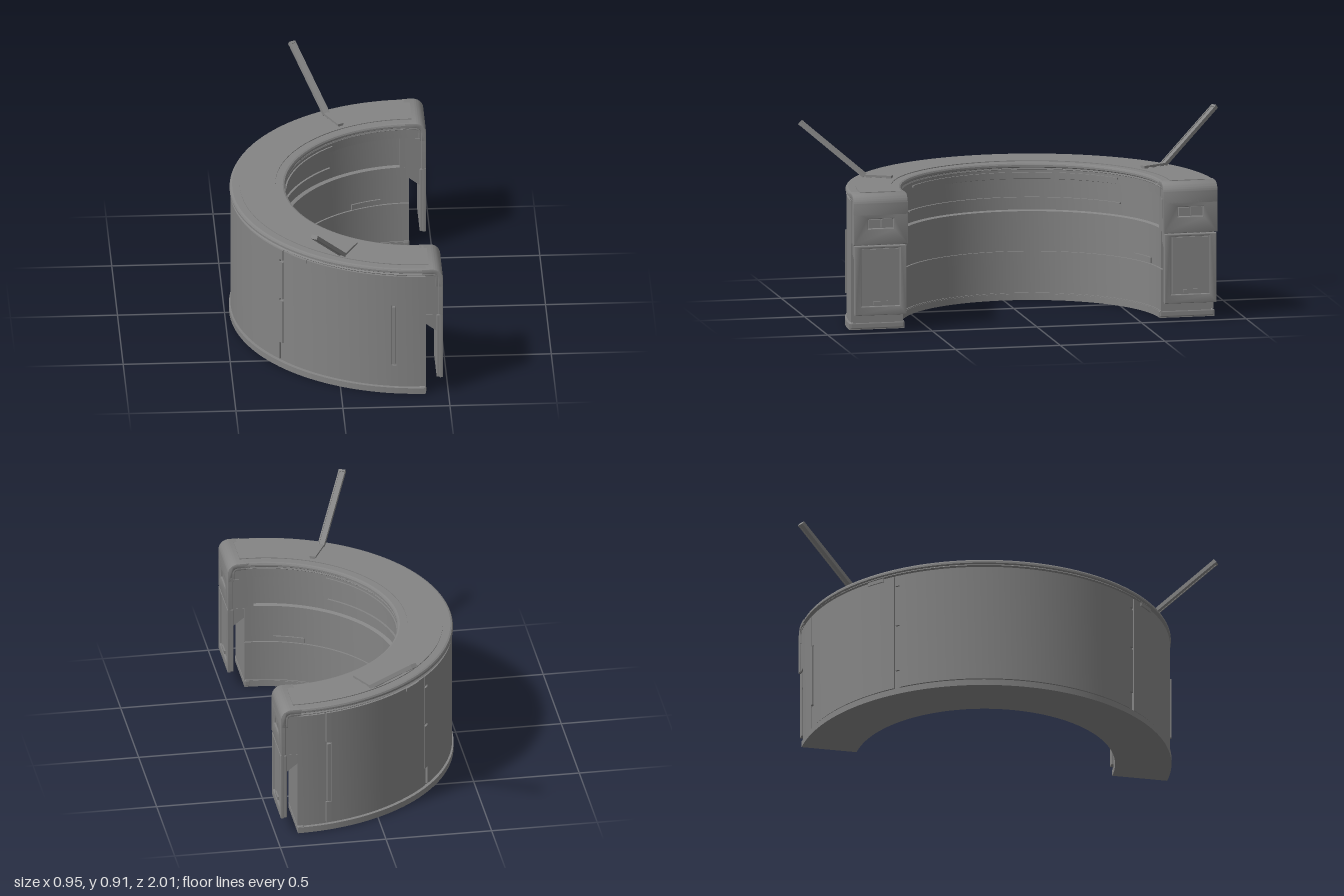
import * as THREE from 'three';
import { mergeGeometries, toCreasedNormals } from 'three/addons/utils/BufferGeometryUtils.js';
import { RoundedBoxGeometry } from 'three/addons/geometries/RoundedBoxGeometry.js';

const CX = 0.395; // centre of the half ring
const PI = Math.PI;
const BEVEL = 0.004;

// rectangle corners, counter-clockwise
const rect = (x0, x1, y0, y1) => [[x0, y0], [x1, y0], [x1, y1], [x0, y1]];
const vectors = pts => pts.map(p => new THREE.Vector2(...p));

// bevelled extrusion centred on z, with its full size given by shape edge + bevel
function slab(shape, depth) {
  const geo = new THREE.ExtrudeGeometry(shape, {
    depth: depth - 2 * BEVEL, bevelThickness: BEVEL, bevelSize: BEVEL, bevelSegments: 2, curveSegments: 12,
  });
  return toCreasedNormals(geo.translate(0, 0, BEVEL - depth / 2), 0.5);
}

// upright plate facing +x with a rectangular opening
function facePlate(outer, hole, x0, x1) {
  const [a, y0, y1] = outer, [b, h0, h1] = hole, e = BEVEL;
  const shape = new THREE.Shape(vectors(rect(-a + e, a - e, y0 + e, y1 - e)));
  shape.holes.push(new THREE.Path(vectors(rect(-b - e, b + e, h0 - e, h1 + e)).reverse()));
  return slab(shape, x1 - x0).rotateY(PI / 2).translate((x0 + x1) / 2, 0, 0);
}

// layer of the counter edge bending down over the end; d0 and d1 are depths below the skin
function elbow(d0, d1, width) {
  const a = d0 + BEVEL, b = d1 - BEVEL, r = 0.05, x = 0.425, y = 0.6;
  const shape = new THREE.Shape();
  shape.moveTo(0.38, y + r - b);
  shape.lineTo(x, y + r - b);
  shape.absarc(x, y, r - b, PI / 2, 0, true);
  shape.lineTo(x + r - b, 0.56);
  shape.lineTo(x + r - a, 0.56);
  shape.lineTo(x + r - a, y);
  shape.absarc(x, y, r - a, 0, PI / 2, false);
  shape.lineTo(0.38, y + r - a);
  return slab(shape, width);
}

export function createModel() {
  const model = new THREE.Group();
  const mat = new THREE.MeshStandardMaterial({ color: 0x848484 });

  function add(name, geo, parent = model) {
    const mesh = new THREE.Mesh(geo, mat);
    mesh.name = name;
    parent.add(mesh);
  }

  // axis-aligned box from its minimum and maximum corners
  function box(name, x0, x1, y0, y1, z0, z1, parent, round = 0) {
    const s = [x1 - x0, y1 - y0, z1 - z0];
    const geo = round ? new RoundedBoxGeometry(...s, 3, round) : new THREE.BoxGeometry(...s);
    add(name, geo.translate((x0 + x1) / 2, (y0 + y1) / 2, (z0 + z1) / 2), parent);
  }

  // closed (radius, height) profile swept around the ring, with flat caps at both ends
  function sweep(name, profile, t0 = 0, t1 = PI) {
    const pts = vectors(profile);
    const segs = Math.max(3, Math.ceil((t1 - t0) / PI * 72));
    const side = new THREE.LatheGeometry([...pts, pts[0].clone()], segs, PI + t0, t1 - t0);
    const startCap = new THREE.ShapeGeometry(new THREE.Shape(pts)).rotateY(PI / 2 + t0);
    const endCap = new THREE.ShapeGeometry(new THREE.Shape(pts)).rotateY(PI / 2 + t1);
    endCap.setIndex(Array.from(endCap.index.array).reverse());
    const geo = toCreasedNormals(mergeGeometries([side, startCap, endCap]), 0.3);
    add(name, geo.translate(CX, 0, 0));
  }

  // the same sweep near both ends of the ring
  function sweepPair(name, profile, t0, t1) {
    sweep(name, profile, t0, t1);
    sweep(name, profile, PI - t1, PI - t0);
  }

  // base plinth, core wall with inner alcove, and counter top
  sweep('base', rect(0.61, 0.873, 0, 0.029));
  sweep('coreWall', [
    [0.617, 0.025], [0.856, 0.025], [0.856, 0.625], [0.614, 0.625], [0.614, 0.575],
    [0.635, 0.57], [0.635, 0.425], [0.617, 0.42], [0.617, 0.236], [0.626, 0.236],
    [0.626, 0.23], [0.617, 0.23],
  ]);
  sweep('counterTop', [
    [0.618, 0.614], [0.86, 0.614], [0.868, 0.62], [0.862, 0.626], [0.87, 0.631], [0.87, 0.64],
    [0.866, 0.647], [0.858, 0.65], [0.622, 0.65], [0.614, 0.647], [0.61, 0.64], [0.61, 0.631],
    [0.617, 0.626], [0.612, 0.62],
  ]);
  sweep('counterInlay', rect(0.657, 0.823, 0.645, 0.6535));

  // outer cladding with narrow seams, cut away around handles and hinges
  const clad = (y0 = 0.037, y1 = 0.611) => rect(0.85, 0.866, y0, y1);
  sweep('rearCladding', clad(), 0.88, PI - 0.88);
  for (const [y0, y1] of [[0.126, 0.345], [0.357, 0.548], [0.56, 0.611]])
    sweepPair('rearCladdingEdge', clad(y0, y1), 0.855, 0.88);
  sweepPair('endCladding', clad(), 0, 0.154);
  sweepPair('sideDoor', clad(), 0.188, 0.848);
  sweepPair('sideDoorEdge', clad(0.457, 0.611), 0.16, 0.188);
  sweepPair('sideDoorEdge', clad(0.037, 0.143), 0.16, 0.188);
  sweepPair('doorHandle', rect(0.85, 0.873, 0.15, 0.45), 0.164, 0.182);
  sweepPair('doorLatch', rect(0.85, 0.872, 0.596, 0.613), 0.683, 0.785);

  // inner details: alcove ends, shelf rail, light strip, drawer pulls
  sweepPair('alcoveEnd', rect(0.617, 0.64, 0.415, 0.578), 0, 0.07);
  sweep('alcoveRail', rect(0.625, 0.638, 0.479, 0.485), 0.64, PI - 0.64);
  sweep('lightStrip', rect(0.607, 0.62, 0.597, 0.606), 0.64, PI - 0.64);
  sweep('innerFootTrim', rect(0.612, 0.62, 0.022, 0.034));
  sweepPair('drawerPull', rect(0.61, 0.62, 0.238, 0.264), 0.22, 0.46);

  // end pod: counter edge wrapping over the end, and a face plate open around the screens
  const outerElbow = elbow(0, 0.024, 0.26);
  const innerElbow = elbow(0.023, 0.036, 0.254);
  const podFace = facePlate([0.13, 0.413, 0.58], [0.061, 0.49, 0.536], 0.451, 0.475);

  // wedge bracket and framed hanging panel
  const wedge = vectors([[0.39, 0.364], [0.45, 0.318], [0.45, 0.409], [0.39, 0.409]]);
  const wedgeGeo = new THREE.ExtrudeGeometry(new THREE.Shape(wedge), { depth: 0.236, bevelEnabled: false })
    .translate(0, 0, -0.118);
  const panelFrame = facePlate([0.124, 0.08, 0.409], [0.092, 0.122, 0.398], 0.458, 0.475);

  for (const s of [1, -1]) {
    const pod = new THREE.Group();
    pod.name = s > 0 ? 'leftEndPod' : 'rightEndPod';
    pod.position.z = s * 0.74;
    model.add(pod);
    add('podOuterEdge', outerElbow, pod);
    add('podInnerEdge', innerElbow, pod);
    add('podFace', podFace, pod);
    box('podCore', 0.39, 0.456, 0.413, 0.618, -0.124, 0.124, pod);
    for (const z of [-0.029, 0.029])
      box('podScreen', 0.45, 0.468, 0.493, 0.533, z - 0.026, z + 0.026, pod);
    const inner = -s * 0.126;
    box('podSlot', 0.422, 0.446, 0.48, 0.57, inner - 0.004, inner + 0.004, pod);

    add('panelBracket', wedgeGeo, pod);
    box('panelBack', 0.445, 0.462, 0.081, 0.408, -0.123, 0.123, pod, 0.004);
    add('panelFrame', panelFrame, pod);
    box('panelDoor', 0.455, 0.468, 0.128, 0.392, -0.086, 0.086, pod);
    box('panelDoorPull', 0.465, 0.475, 0.13, 0.146, -0.034, 0.034, pod);

    box('inlayEnd', 0.39, 0.41, 0.645, 0.6535, -0.083, 0.083, pod);
    box('baseEnd', 0.365, 0.397, 0.001, 0.035, -0.131, 0.131, pod, 0.009);

    // slanted arm on a foot plate, pointing radially outward
    const arm = new THREE.Group();
    arm.name = s > 0 ? 'leftArm' : 'rightArm';
    arm.position.x = CX;
    arm.rotation.y = s > 0 ? -0.49 : PI + 0.49;
    model.add(arm);
    box('armFoot', -0.015, 0.015, 0.658, 0.667, 0.678, 0.82, arm);
    for (const z of [0.692, 0.742, 0.79])
      box('armFootPad', -0.012, 0.012, 0.648, 0.66, z - 0.012, z + 0.012, arm);
    const rod = new THREE.Group();
    rod.name = 'armRod';
    rod.position.set(0, 0.662, 0.812);
    rod.rotation.x = -0.65;
    arm.add(rod);
    box('rodBar', -0.011, 0.011, -0.006, 0.006, 0, 0.388, rod);
    for (const x of [-0.013, 0.013])
      box('rodRail', x - 0.003, x + 0.003, -0.009, 0.009, -0.004, 0.39, rod);
    box('rodTip', -0.016, 0.016, -0.01, 0.01, 0.38, 0.391, rod);
  }
  return model;
}
